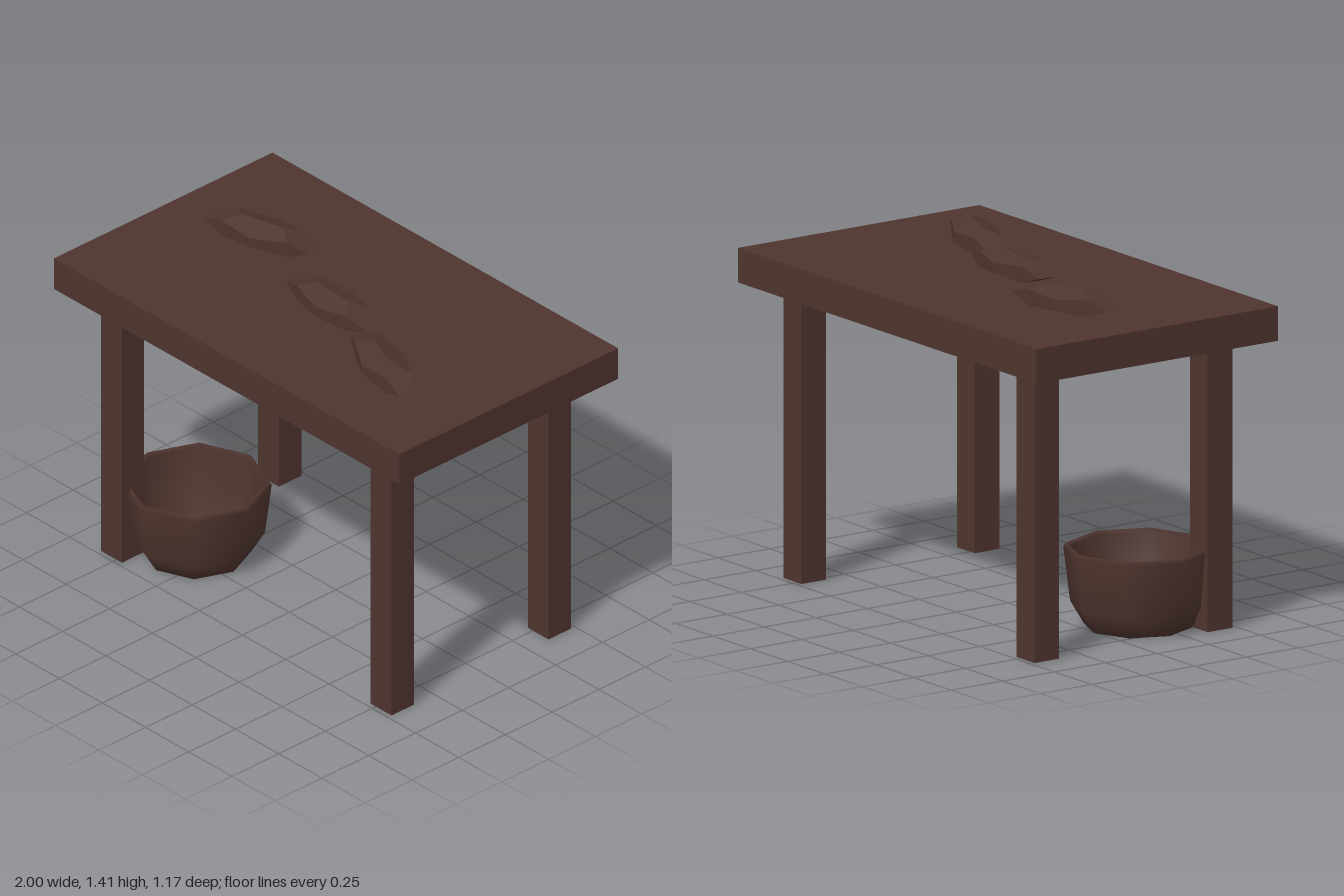
import * as THREE from 'three';

export function createModel() {
  const model = new THREE.Group();
  const wood = new THREE.MeshStandardMaterial({ color: 0x4e342e });
  wood.name = 'dark brown wood';

  const add = (name, geometry, x, y, z) => {
    const mesh = new THREE.Mesh(geometry, wood);
    mesh.name = name;
    mesh.position.set(x, y, z);
    model.add(mesh);
    return mesh;
  };

  // Table: thick slab on four square legs
  add('tableTop', new THREE.BoxGeometry(2, 0.14, 1.17), 0, 1.25, 0);
  const legGeometry = new THREE.BoxGeometry(0.12, 1.18, 0.12);
  for (const [side, x] of [['Left', 0.78], ['Right', -0.78]]) {
    for (const [end, z] of [['front', 0.42], ['back', -0.42]]) {
      add(`${end}${side}Leg`, legGeometry, x, 0.59, z);
    }
  }

  // Faceted loaves: stretched dodecahedra sunk slightly into the top
  const loafGeometry = new THREE.DodecahedronGeometry(1);
  loafGeometry.scale(0.266, 0.058, 0.099);
  const loaves = [
    [-0.545, -0.11, 0.245],
    [0.035, 0.048, -0.06],
    [0.5, 0.21, -0.345],
  ];
  loaves.forEach(([x, z, turn], i) => {
    add(`loaf${i + 1}`, loafGeometry, x, 1.355, z).rotation.y = turn;
  });

  // Hollow eight-sided bucket: up the outside, over the rim, down the inside
  const profile = [
    [0, 0], [0.215, 0], [0.27, 0.09], [0.297, 0.31],
    [0.283, 0.325], [0.272, 0.31], [0.245, 0.1], [0.2, 0.04], [0, 0.04],
  ].map(([r, y]) => new THREE.Vector2(r, y));
  add('bucket', new THREE.LatheGeometry(profile, 8), -0.588, 0, 0.204);

  return model;
}
